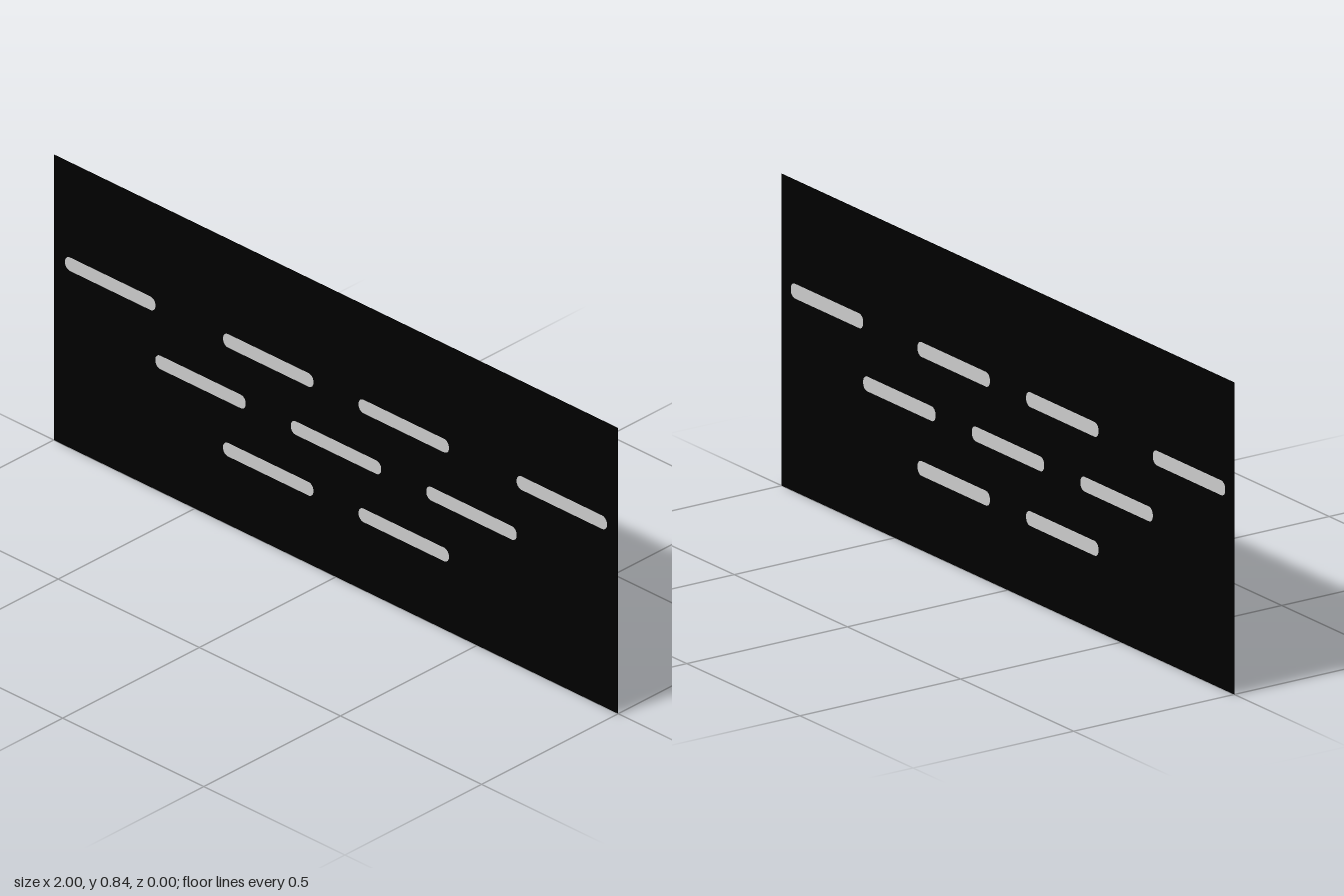
import * as THREE from 'three';

const SLOT_W = 0.32, SLOT_H = 0.04, SLOT_R = 0.018;
const PANEL_W = 2, PANEL_H = 0.84;

// Rows of slots: height and centre positions across the panel
const rows = [
  { y: 0.54, xs: [-0.8, -0.24, 0.24, 0.8] },
  { y: 0.38, xs: [-0.48, 0, 0.48] },
  { y: 0.22, xs: [-0.24, 0.24] },
];

// Rounded bar outline centred on (cx, cy)
function traceSlot(path, cx, cy) {
  const x = SLOT_W / 2 - SLOT_R, y = SLOT_H / 2 - SLOT_R;
  path.absarc(cx + x, cy - y, SLOT_R, -Math.PI / 2, 0);
  path.absarc(cx + x, cy + y, SLOT_R, 0, Math.PI / 2);
  path.absarc(cx - x, cy + y, SLOT_R, Math.PI / 2, Math.PI);
  path.absarc(cx - x, cy - y, SLOT_R, Math.PI, Math.PI * 1.5);
  path.closePath();
  return path;
}

export function createModel() {
  const group = new THREE.Group();
  group.name = 'slottedPanel';
  const black = new THREE.MeshStandardMaterial({ color: 0x000000, side: THREE.DoubleSide });
  const white = new THREE.MeshStandardMaterial({ color: 0xffffff, side: THREE.DoubleSide });

  // Flat sheet with an opening for each bar
  const w = PANEL_W / 2;
  const sheet = new THREE.Shape([
    new THREE.Vector2(-w, 0), new THREE.Vector2(w, 0),
    new THREE.Vector2(w, PANEL_H), new THREE.Vector2(-w, PANEL_H),
  ]);

  // White bars set flush into the openings
  const barGeometry = new THREE.ShapeGeometry(traceSlot(new THREE.Shape(), 0, 0), 8);
  for (const { y, xs } of rows) {
    for (const x of xs) {
      sheet.holes.push(traceSlot(new THREE.Path(), x, y));
      const bar = new THREE.Mesh(barGeometry, white);
      bar.name = 'whiteBar';
      bar.position.set(x, y, 0);
      group.add(bar);
    }
  }

  const panel = new THREE.Mesh(new THREE.ShapeGeometry(sheet, 8), black);
  panel.name = 'panel';
  group.add(panel);
  return group;
}
